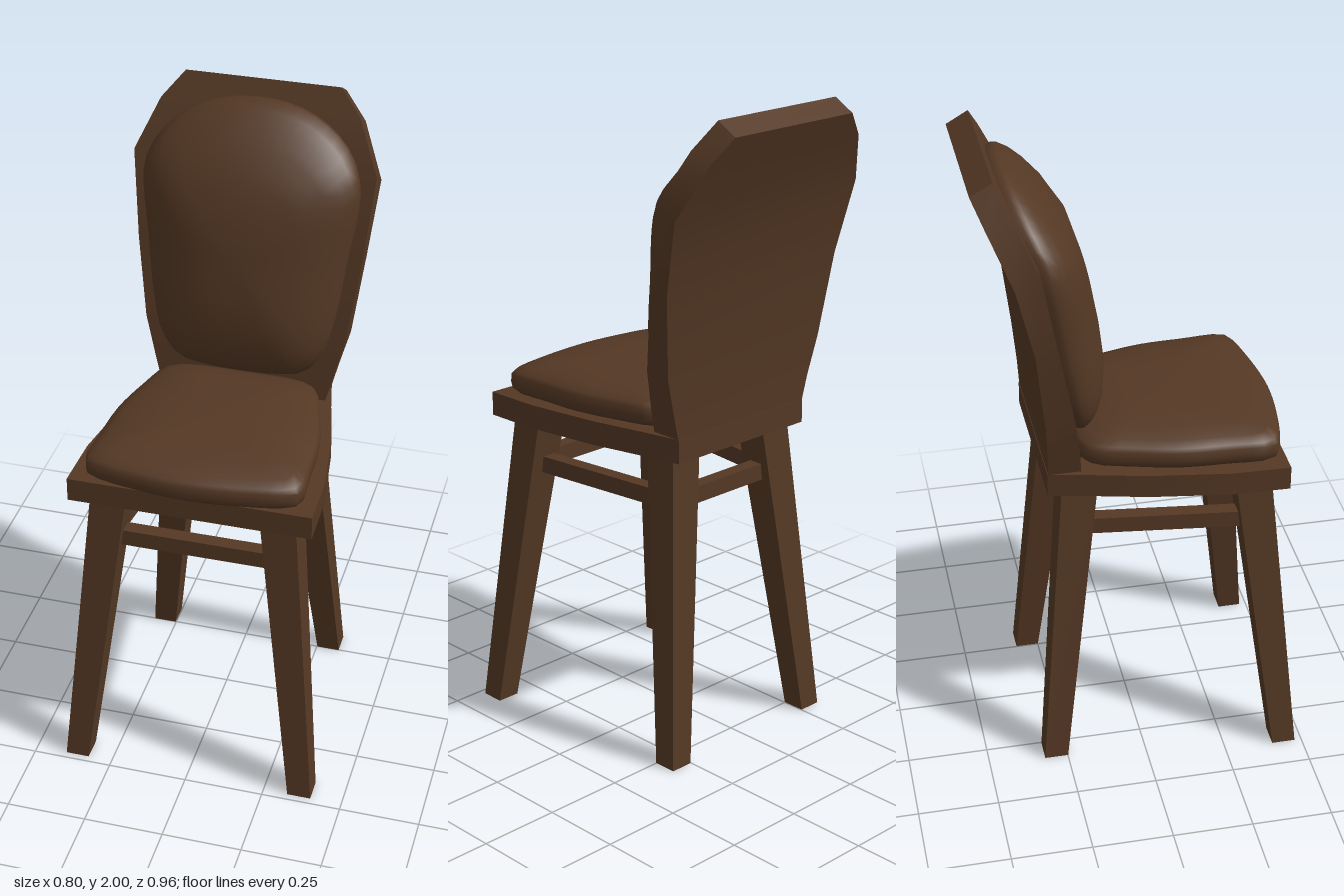
import * as THREE from 'three';
import { toCreasedNormals } from 'three/addons/utils/BufferGeometryUtils.js';

const wood = new THREE.MeshStandardMaterial({ color: 0x543824 });
wood.name = 'dark brown';

// Skin over a stack of equal-length rings; both ends are closed by a fan to the ring centre.
function loft(rings, crease) {
  const cap = (ring) => {
    const c = new THREE.Vector3();
    ring.forEach((p) => c.add(p));
    c.divideScalar(ring.length);
    return ring.map(() => c.clone());
  };
  const all = [cap(rings[0]), ...rings, cap(rings[rings.length - 1])];
  const n = rings[0].length;
  const index = [];
  for (let i = 0; i < all.length - 1; i++) {
    for (let j = 0; j < n; j++) {
      const k = (j + 1) % n;
      const a = i * n + j, b = i * n + k, c = a + n, d = b + n;
      if (i > 0) index.push(a, b, d);
      else { index.push(a, d, c); continue; }
      if (i < all.length - 2) index.push(a, d, c);
    }
  }
  const geo = new THREE.BufferGeometry().setFromPoints(all.flat());
  geo.setIndex(index);
  return toCreasedNormals(geo, crease);
}

// Mirror half an outline, listed from bottom centre to top centre.
function mirrored(half) {
  const left = half.filter((p) => p[0] > 0).reverse().map(([u, v]) => [-u, v]);
  return [...half, ...left];
}

function smoothOutline(half) {
  const pts = mirrored(half).map(([u, v]) => new THREE.Vector3(u, v, 0));
  return new THREE.CatmullRomCurve3(pts, true).getSpacedPoints(56).slice(0, 56);
}

// Rectangle ring in a level plane, counter-clockwise from above.
const rect = (x0, x1, z0, z1, y) => [
  new THREE.Vector3(x0, y, z1), new THREE.Vector3(x1, y, z1),
  new THREE.Vector3(x1, y, z0), new THREE.Vector3(x0, y, z0),
];

export function createModel() {
  const chair = new THREE.Group();
  chair.name = 'chair';
  const add = (name, geo) => {
    const mesh = new THREE.Mesh(geo, wood);
    mesh.name = name;
    chair.add(mesh);
    return mesh;
  };

  // Seat board, narrowing towards the back
  const board = mirrored([[0, -0.43], [0.372, -0.43], [0.368, -0.25],
    [0.332, -0.01], [0.293, 0.155], [0.265, 0.285], [0, 0.285]]);
  add('seatBoard', loft([0.97, 1.045].map((y) =>
    board.map(([u, v]) => new THREE.Vector3(u, y, -v))), 0.5));

  // Seat cushion: rings of [scale, height]
  const pad = smoothOutline([[0, -0.455], [0.17, -0.44], [0.3, -0.412], [0.328, -0.39],
    [0.326, -0.25], [0.318, -0.11], [0.285, 0.03], [0.245, 0.15], [0.2, 0.18], [0, 0.19]]);
  const padRings = [[0.96, 1.045], [0.99, 1.055], [1, 1.075], [0.995, 1.1], [0.97, 1.112],
    [0.88, 1.125], [0.7, 1.138], [0.45, 1.146], [0.2, 1.15]];
  add('seatCushion', loft(padRings.map(([s, y]) =>
    pad.map((p) => new THREE.Vector3(p.x * s, y, -(-0.13 + (p.y + 0.13) * s)))), 0.9));

  // Curved back panel: rows of [half width, front y, front z, back y, back z]
  const rows = [
    [0.265, 1.04, -0.183, 1.04, -0.283], [0.285, 1.12, -0.19, 1.12, -0.286],
    [0.318, 1.25, -0.208, 1.24, -0.295], [0.352, 1.5, -0.257, 1.5, -0.325],
    [0.376, 1.77, -0.308, 1.73, -0.38], [0.308, 1.92, -0.375, 1.885, -0.445],
    [0.24, 2.0, -0.412, 1.962, -0.478],
  ];
  add('backPanel', loft(rows.map(([w, yf, zf, yb, zb]) => [
    new THREE.Vector3(-w, yf, zf), new THREE.Vector3(w, yf, zf),
    new THREE.Vector3(w, yb, zb), new THREE.Vector3(-w, yb, zb),
  ]), 0.5));

  // Back cushion, following the front of the panel: rings of [scale, bulge]
  const panelZ = (y) => {
    let i = 0;
    while (i < rows.length - 2 && y > rows[i + 1][1]) i++;
    const a = rows[i], b = rows[i + 1];
    return THREE.MathUtils.mapLinear(y, a[1], b[1], a[2], b[2]);
  };
  const rest = smoothOutline([[0, 1.128], [0.12, 1.133], [0.2, 1.152], [0.255, 1.22],
    [0.285, 1.33], [0.308, 1.5], [0.332, 1.75], [0.29, 1.84], [0.205, 1.91], [0.1, 1.948], [0, 1.957]]);
  const restRings = [[0.97, -0.01], [1, 0.015], [1, 0.032], [0.96, 0.058], [0.89, 0.082],
    [0.77, 0.108], [0.55, 0.138], [0.3, 0.152], [0.1, 0.157]];
  add('backCushion', loft(restRings.map(([s, bulge]) => rest.map((p) => {
    const y = 1.53 + (p.y - 1.53) * s;
    return new THREE.Vector3(p.x * s, y, panelZ(y) + bulge);
  })), 0.9));

  // Splayed, tapering legs
  for (const side of [-1, 1]) {
    const leg = (name, foot, top) => {
      const ring = ([x, z, h], y) => rect(side * x - h, side * x + h, z - h, z + h, y);
      add(name, loft([ring(foot, 0), ring(top, 0.975)], 0.3));
    };
    const label = side > 0 ? 'left' : 'right';
    leg(label + 'FrontLeg', [0.364, 0.441, 0.037], [0.26, 0.333, 0.055]);
    leg(label + 'BackLeg', [0.289, -0.286, 0.037], [0.19, -0.185, 0.055]);
  }

  // Stretchers joining the legs
  const stretcher = (name, x0, z0, x1, z1) => {
    const length = Math.hypot(x1 - x0, z1 - z0);
    const bar = add(name, new THREE.BoxGeometry(0.045, 0.053, length));
    bar.position.set((x0 + x1) / 2, 0.818, (z0 + z1) / 2);
    bar.rotation.y = Math.atan2(x1 - x0, z1 - z0);
  };
  stretcher('frontStretcher', -0.27, 0.35, 0.27, 0.35);
  stretcher('backStretcher', -0.205, -0.2, 0.205, -0.2);
  stretcher('leftStretcher', 0.205, -0.2, 0.27, 0.35);
  stretcher('rightStretcher', -0.205, -0.2, -0.27, 0.35);

  return chair;
}
